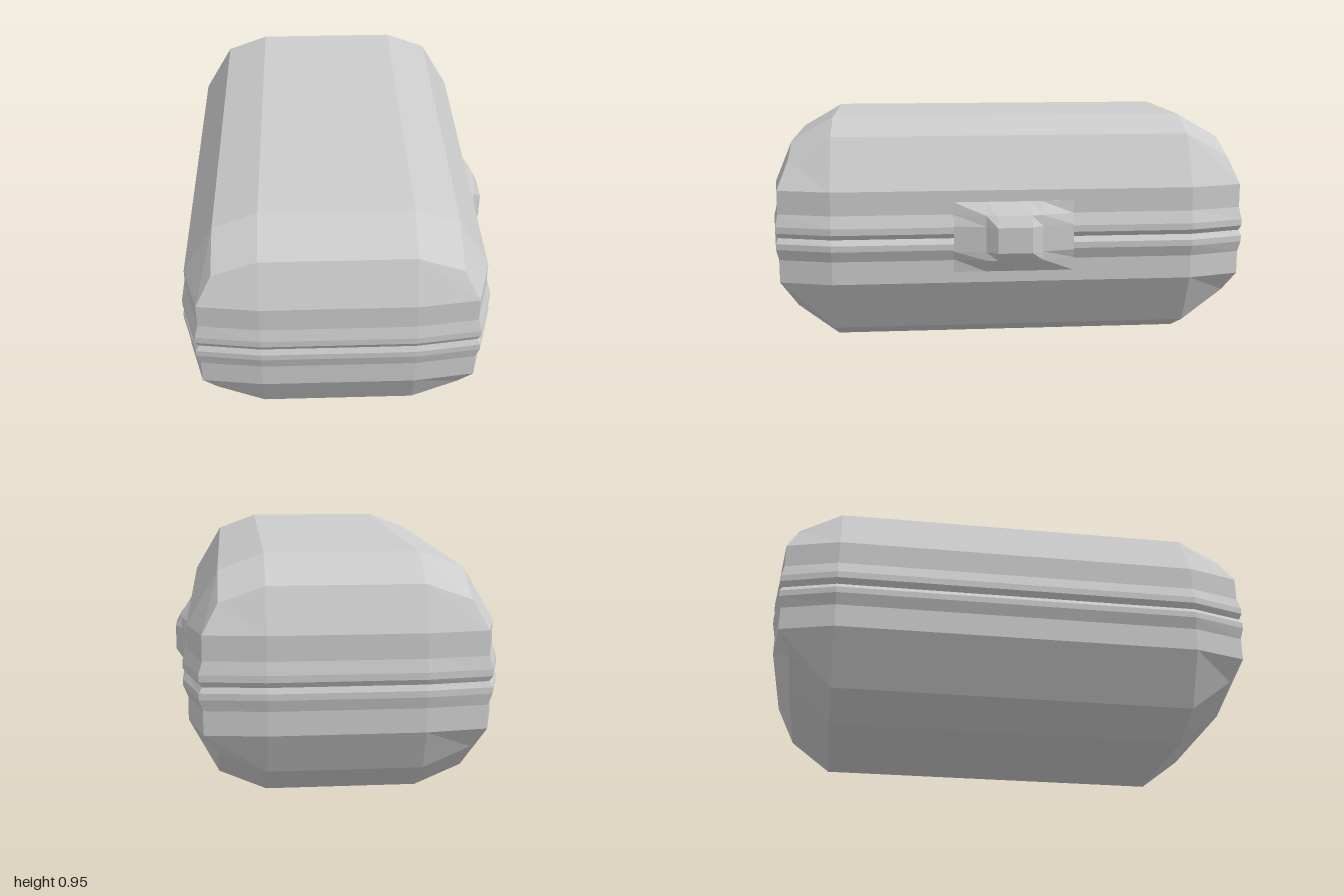
import * as THREE from 'three';

const shell = new THREE.MeshStandardMaterial({ color: 0xcccccc, flatShading: true });
shell.name = 'light grey shell';

// Flat-shaded geometry from four-cornered faces; collapsed triangles are dropped
function fromQuads(quads) {
  const pos = [];
  const tri = (...t) => {
    const v = t.map((p) => new THREE.Vector3(...p));
    if (new THREE.Triangle(...v).getArea() > 1e-7) t.forEach((p) => pos.push(...p));
  };
  quads.forEach(([a, b, c, d]) => { tri(a, b, c); tri(a, c, d); });
  const g = new THREE.BufferGeometry();
  g.setAttribute('position', new THREE.Float32BufferAttribute(pos, 3));
  g.computeVertexNormals();
  return g;
}

// Mirror one corner (side, corner, end points) into a 12-point ring
function ring(side, corner, end) {
  const c = [side, corner, end];
  const flip = (sx, sz) => c.map(([x, y, z]) => [x * sx, y, z * sz]);
  return [...flip(1, 1), ...flip(-1, 1).reverse(), ...flip(-1, -1), ...flip(1, -1).reverse()];
}

// Level ring of the wall; d runs from 0 (wall) to 1 (crest of the rim)
const wall = (y, d = 0) => ring(
  [0.6 + 0.019 * d, y, 0.74],
  [0.538 + 0.014 * d, y, 0.957 + 0.009 * d],
  [0.3, y, 0.988 + 0.012 * d],
);
const cap = (y) => ring([0.3, y, 0.74], [0.3, y, 0.74], [0.3, y, 0.74]);

// Rings are listed from bottom to top
function loft(rings) {
  const quads = [];
  for (let r = 0; r < rings.length - 1; r++) {
    for (let i = 0; i < 12; i++) {
      const j = (i + 1) % 12;
      quads.push([rings[r][i], rings[r + 1][i], rings[r + 1][j], rings[r][j]]);
    }
  }
  return quads;
}

function addMesh(group, name, geometry) {
  const mesh = new THREE.Mesh(geometry, shell);
  mesh.name = name;
  group.add(mesh);
}

export function createModel() {
  const model = new THREE.Group();
  model.name = 'case';
  const body = new THREE.Group();
  body.name = 'body';
  body.position.x = -0.03;
  model.add(body);

  // Lower half with its rim
  const bottom = cap(0);
  const base = loft([
    bottom,
    ring([0.485, 0.08, 0.74], [0.485, 0.21, 0.91], [0.3, 0.13, 0.91]),
    wall(0.295), wall(0.39), wall(0.435, 1), wall(0.46, 1), wall(0.482, 0.1),
  ]);
  base.push([bottom[0], bottom[3], bottom[6], bottom[9]]);
  addMesh(body, 'base', fromQuads(base));

  // Upper half with its rim
  const top = cap(0.95);
  const lid = loft([
    wall(0.482, 0.1), wall(0.503, 1), wall(0.53, 1), wall(0.58), wall(0.677),
    ring([0.477, 0.885, 0.74], [0.477, 0.788, 0.915], [0.3, 0.85, 0.915]),
    top,
  ]);
  lid.push([top[9], top[6], top[3], top[0]]);
  addMesh(body, 'lid', fromQuads(lid));

  // Latch: sloping wings rising to a raised middle, as rows of depth over y
  const ys = [0.34, 0.395, 0.43, 0.535, 0.58, 0.63];
  const wing = [0.57, 0.578, 0.592, 0.592, 0.578, 0.572];
  const shoulder = [0.571, 0.613, 0.616, 0.616, 0.613, 0.573];
  const middle = [0.571, 0.62, 0.645, 0.645, 0.62, 0.573];
  const columns = [
    [-0.245, wing], [-0.115, shoulder], [-0.07, middle],
    [0.07, middle], [0.115, shoulder], [0.245, wing],
  ].map(([z, xs]) => ys.map((y, i) => [xs[i], y, z]));
  const latch = [];
  for (let c = 0; c < 5; c++) {
    for (let i = 0; i < 5; i++) {
      latch.push([columns[c][i], columns[c][i + 1], columns[c + 1][i + 1], columns[c + 1][i]]);
    }
  }
  // Edges of the latch run back into the wall
  const outline = [
    ...columns[0], ...columns.slice(1, 5).map((c) => c[5]),
    ...columns[5].slice().reverse(), ...columns.slice(1, 5).reverse().map((c) => c[0]),
  ];
  outline.forEach((p, i) => {
    const q = outline[(i + 1) % outline.length];
    const back = ([, y, z]) => [0.55, y, z];
    latch.push([q, p, back(p), back(q)]);
  });
  addMesh(model, 'latch', fromQuads(latch));

  return model;
}
